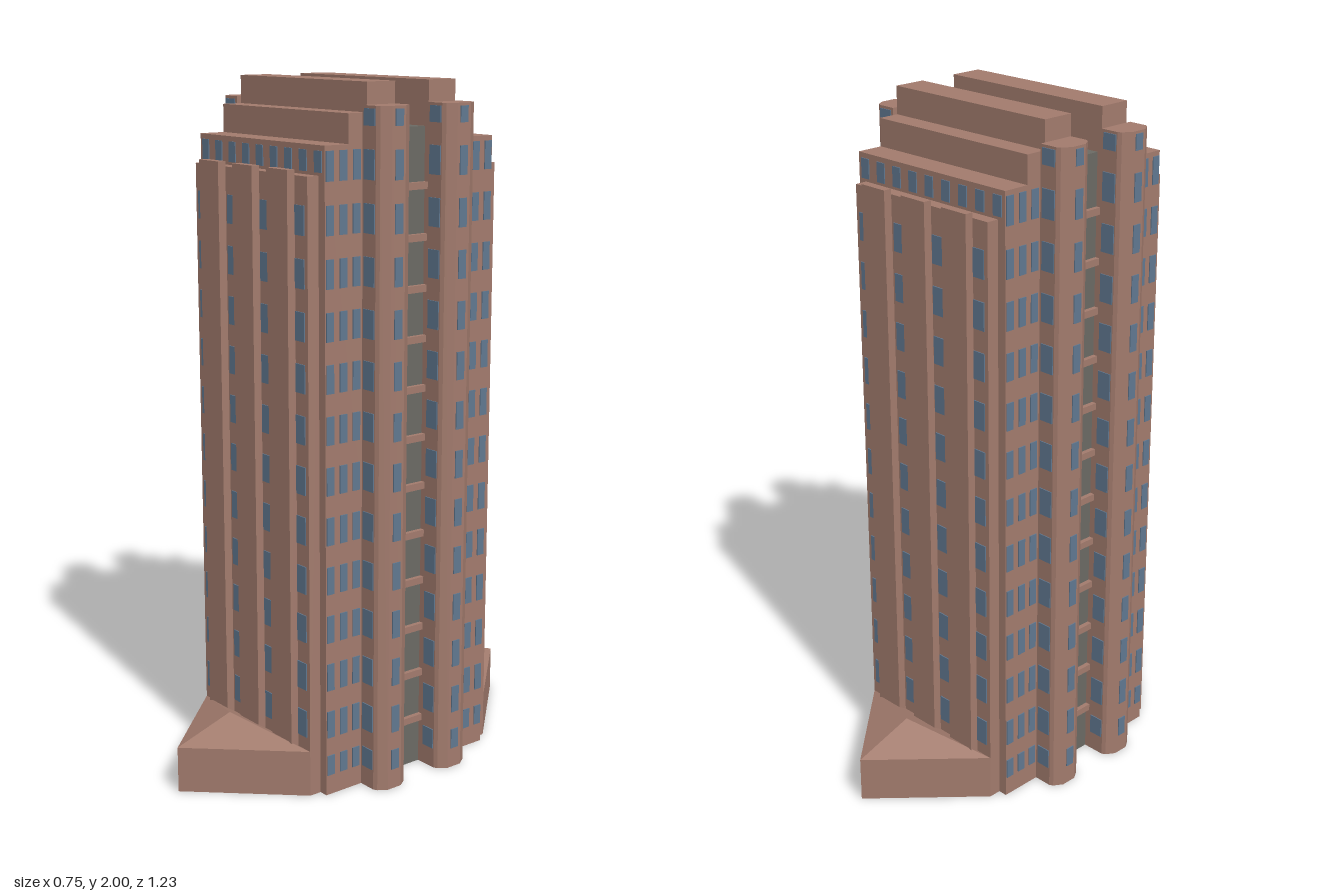
import * as THREE from 'three';
import { mergeGeometries } from 'three/addons/utils/BufferGeometryUtils.js';

const SIDES = [-1, 1];
const FLOOR = 1 / 7;

// Box given by its min and max on each axis
function box(x0, x1, y0, y1, z0, z1) {
  const g = new THREE.BoxGeometry(Math.abs(x1 - x0), y1 - y0, Math.abs(z1 - z0));
  return g.translate((x0 + x1) / 2, (y0 + y1) / 2, (z0 + z1) / 2);
}

// Upright prism from a plan outline of [x, z] points
function prism(plan, height) {
  const shape = new THREE.Shape(plan.map(([x, z]) => new THREE.Vector2(x, -z)));
  const g = new THREE.ExtrudeGeometry(shape, { depth: height, bevelEnabled: false });
  return g.rotateX(-Math.PI / 2);
}

// Drops every triangle lying on the ground
function openBottom(geometry) {
  const p = geometry.attributes.position.array;
  const kept = [];
  for (let i = 0; i < p.length; i += 9) {
    if (Math.max(p[i + 1], p[i + 4], p[i + 7]) > 1e-4) kept.push(...p.slice(i, i + 9));
  }
  const g = new THREE.BufferGeometry();
  g.setAttribute('position', new THREE.Float32BufferAttribute(kept, 3));
  g.computeVertexNormals();
  return g;
}

export function createModel() {
  const group = new THREE.Group();
  const material = (name, color) => {
    const m = new THREE.MeshStandardMaterial({ color, side: THREE.DoubleSide });
    m.name = name;
    return m;
  };
  const brick = material('brick', 0xa27b6d);
  const blueGlass = material('blue window glass', 0x607890);
  const greyGlass = material('grey glass', 0x6b6a64);

  const add = (name, geometry, mat) => {
    const mesh = new THREE.Mesh(geometry, mat);
    mesh.name = name;
    group.add(mesh);
  };

  // Storey rows as [centre height, window height]
  const rows = Array.from({ length: 12 }, (_, i) => [1.786 - i * FLOOR, 0.08]);
  const sideRows = [...rows, [0.09, 0.06]];
  const bayRows = [[1.91, 0.045], ...sideRows];

  // Main block, notched on each side for the glass strip
  const W = 0.287, N = 0.27, G = 0.06;
  add('mainBlock', openBottom(prism([
    [W, 0.3], [W, G], [N, G], [N, -G], [W, -G], [W, -0.3],
    [-W, -0.3], [-W, -G], [-N, -G], [-N, G], [-W, G], [-W, 0.3],
  ], 1.84)), brick);

  // Central glass strip with a spandrel at each storey
  add('centralGlassRoof', box(-N, N, 1.84, 1.875, -G, G), greyGlass);
  for (const sx of SIDES) {
    add('sideGlassStrip', box(sx * N, sx * (N + 0.003), 0, 1.875, -G, G), greyGlass);
    const bars = rows.map(([y]) => box(sx * N, sx * W, y - FLOOR / 2 - 0.01, y - FLOOR / 2 + 0.01, -G, G));
    add('spandrels', mergeGeometries(bars), brick);
  }

  const windows = { front: [], side: [], bay: [], band: [] };
  const pane = 0.003;
  const facingZ = (list, x, w, z, sz, [y, h]) =>
    list.push(box(x - w / 2, x + w / 2, y - h / 2, y + h / 2, z, z + sz * pane));
  const facingX = (list, z, w, x, sx, [y, h]) =>
    list.push(box(x, x + sx * pane, y - h / 2, y + h / 2, z - w / 2, z + w / 2));

  for (const sz of SIDES) {
    // Stepped crown
    add('upperTier', box(-W, W, 1.84, 1.92, sz * G, sz * 0.22), brick);
    add('crownTier', box(-W, W, 1.92, 2, sz * G, sz * 0.157), brick);

    // Facade slab and its pilasters
    add('facadeSlab', box(-0.26, 0.26, 0, 1.76, sz * 0.3, sz * 0.337), brick);
    for (const x of [-0.159, 0, 0.159]) {
      add('pilaster', box(x - 0.046, x + 0.046, 0, 1.775, sz * 0.337, sz * 0.362), brick);
    }
    for (const row of rows.slice(1)) {
      for (const sx of SIDES) {
        facingZ(windows.front, sx * 0.077, 0.054, sz * 0.337, sz, row);
        facingZ(windows.front, sx * 0.227, 0.04, sz * 0.337, sz, row);
      }
    }
    // Row of small windows above the slab
    for (let i = -4; i <= 4; i++) facingZ(windows.band, i * 0.065, 0.031, sz * 0.3, sz, [1.797, 0.057]);

    // Pointed entrance wing with a faceted roof
    const L = [-0.26, 0.135, sz * 0.337], R = [0.26, 0.135, sz * 0.337];
    const A = [0, 0.135, sz * 0.615], P = [0, 0.195, sz * 0.432];
    const down = ([x, , z]) => [x, 0, z];
    const faces = [[L, A, P], [A, R, P], [R, L, P],
      [down(L), down(A), A], [down(L), A, L], [down(A), down(R), R], [down(A), R, A]];
    const wing = new THREE.BufferGeometry();
    const corners = faces.flatMap((f) => (sz > 0 ? f : [f[0], f[2], f[1]]).flat());
    wing.setAttribute('position', new THREE.Float32BufferAttribute(corners, 3));
    wing.computeVertexNormals();
    add('entranceWing', wing, brick);

    for (const sx of SIDES) {
      // Chamfered bay tower
      const plan = [[W, G], [0.342, G], [0.353, 0.066], [0.37, 0.092], [0.37, 0.14],
        [0.353, 0.166], [0.342, 0.172], [W, 0.172]];
      add('bayTower', prism(plan.map(([x, z]) => [sx * x, sz * z]), 1.94), brick);
      for (const row of bayRows) {
        facingZ(windows.bay, sx * 0.317, 0.044, sz * 0.172, sz, row);
        facingZ(windows.bay, sx * 0.317, 0.044, sz * G, -sz, row);
        facingX(windows.bay, sz * 0.115, 0.027, sx * 0.37, sx, row);
      }
      // Side windows beside the bay
      for (const row of sideRows) {
        for (const z of [0.193, 0.238, 0.284]) facingX(windows.side, sz * z, 0.025, sx * W, sx, row);
      }
    }
  }

  for (const [place, list] of Object.entries(windows)) {
    const panes = new THREE.Mesh(mergeGeometries(list), blueGlass);
    panes.name = place + 'Windows';
    group.add(panes);
  }
  return group;
}
